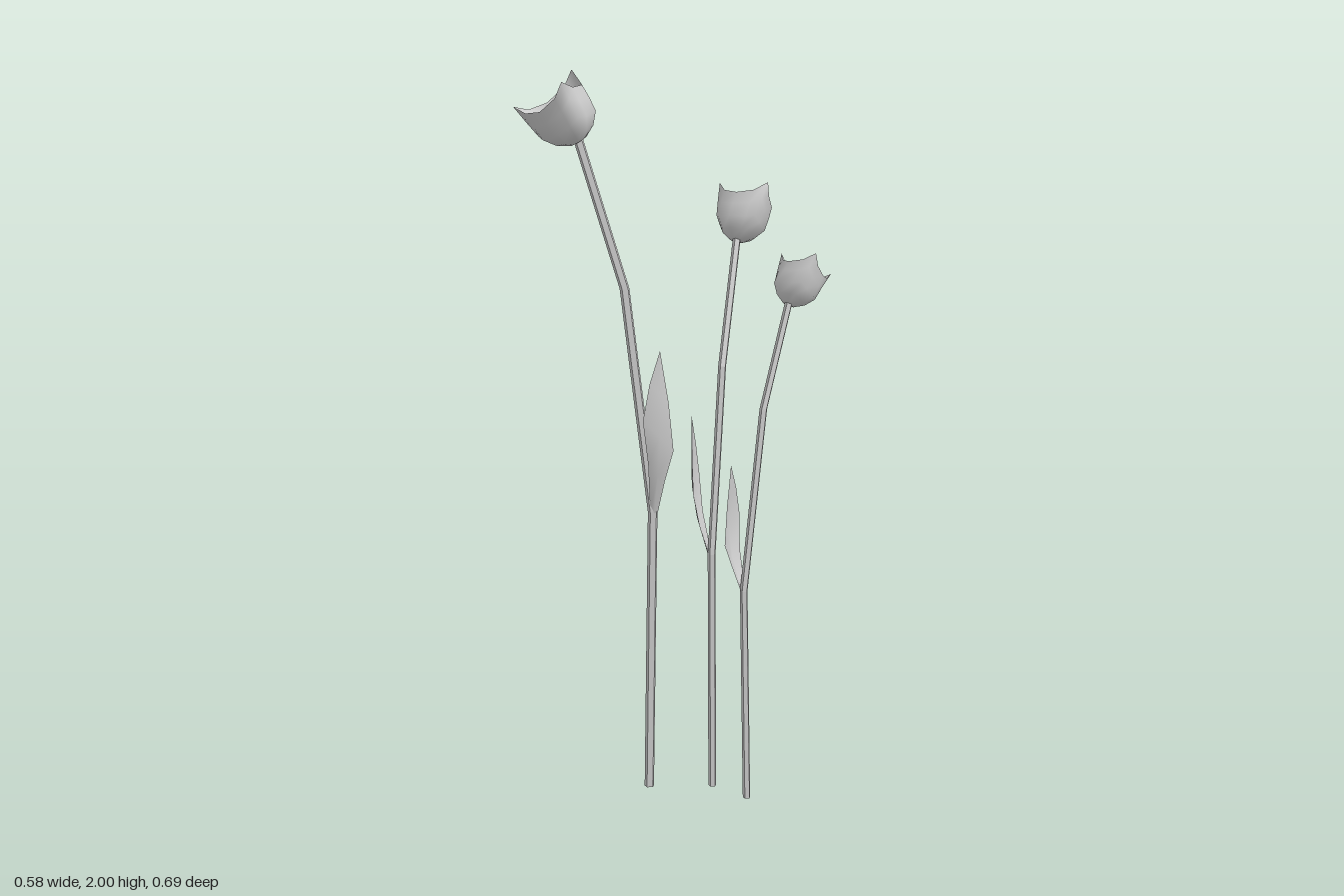
import * as THREE from 'three';

const V = (p) => new THREE.Vector3(...p);

// Surface through rows of points; wrap joins each row into a ring
function loft(rows, wrap) {
  const n = rows[0].length, index = [];
  for (let i = 0; i < rows.length - 1; i++) {
    for (let j = 0; j < (wrap ? n : n - 1); j++) {
      const k = (j + 1) % n;
      const a = i * n + j, b = i * n + k, c = a + n, d = b + n;
      index.push(a, c, b, b, c, d);
    }
  }
  const g = new THREE.BufferGeometry().setFromPoints(rows.flat());
  g.setIndex(index);
  g.computeVertexNormals();
  return g;
}

function part(name, geometry, flat) {
  const material = new THREE.MeshStandardMaterial({
    color: 0xcccccc, side: THREE.DoubleSide, flatShading: flat });
  const mesh = new THREE.Mesh(geometry, material);
  mesh.name = name;
  return mesh;
}

// Five-sided stem through a few points, closed at both ends
function stem(path, radius) {
  const ring = (p, r) => Array.from({ length: 5 }, (_, j) => {
    const a = j / 5 * Math.PI * 2;
    return new THREE.Vector3(p.x + r * Math.cos(a), p.y, p.z + r * Math.sin(a));
  });
  const pts = path.map(V);
  const rows = pts.map((p) => ring(p, radius));
  rows.unshift(ring(pts[0], 0));
  rows.push(ring(pts.at(-1), 0));
  return part('stem', loft(rows, true), true);
}

// Cup with three pointed petals, set by its base and the petal tips
function blossom(basePoint, tipPoints) {
  const base = V(basePoint), tips = tipPoints.map(V);
  const centre = new THREE.Vector3();
  tips.forEach((t) => centre.addScaledVector(t, 1 / 3));
  const axis = centre.clone().sub(base);
  const spokes = tips.map((t) => t.clone().sub(centre));
  const profile = [[0, 0], [0, 0.22], [0.14, 0.52], [0.38, 0.8], [0.7, 0.91], [1, 1]];
  const per = 4;
  const rows = profile.map(([s, r]) => Array.from({ length: 3 * per }, (_, j) => {
    const k = Math.floor(j / per), t = (j % per) / per;
    const from = spokes[k], to = spokes[(k + 1) % 3];
    const length = THREE.MathUtils.lerp(from.length(), to.length(), t);
    const dir = from.clone().lerp(to, t).setLength(length);
    const notch = Math.sin(Math.PI * t);
    return base.clone()
      .addScaledVector(axis, s * (1 - 0.25 * notch))
      .addScaledVector(dir, r * (1 - 0.28 * notch * s));
  }));
  return part('blossom', loft(rows, true), false);
}

// Keeled leaf: joint on the stem, two widest edge points, tip
function leaf(jointPoint, edgeA, edgeB, tipPoint) {
  const joint = V(jointPoint), a = V(edgeA), b = V(edgeB), tip = V(tipPoint);
  const mid = a.clone().add(b).multiplyScalar(0.5);
  const half = b.clone().sub(a).multiplyScalar(0.5);
  const out = new THREE.Vector3(mid.x - joint.x, 0, mid.z - joint.z).setLength(0.014);
  const row = (p, width, keel) => [-1, 0, 1].map((s) =>
    p.clone().addScaledVector(half, s * width).addScaledVector(out, s ? 0 : keel));
  const rows = [
    row(joint, 0.2, 0.5),
    row(joint.clone().lerp(mid, 0.55).addScaledVector(out, 0.4), 0.55, 0.9),
    row(mid, 1, 1),
    row(mid.clone().lerp(tip, 0.5), 0.62, 0.6),
    row(tip, 0, 0),
  ];
  return part('leaf', loft(rows, false), false);
}

const flowers = [
  {
    name: 'tallFlower', radius: 0.014,
    path: [[-0.045, 0, 0.087], [-0.032, 0.8, 0.083], [-0.085, 1.42, 0.135], [-0.167, 1.83, 0.228]],
    base: [-0.165, 1.815, 0.225],
    tips: [[-0.292, 1.905, 0.343], [-0.243, 2, 0.18], [-0.115, 1.975, 0.325]],
    leaf: [[-0.03, 0.79, 0.083], [0.03, 0.98, 0.063], [0.002, 1.07, 0.15], [0.022, 1.26, 0.105]],
  },
  {
    name: 'middleFlower', radius: 0.0115,
    path: [[0.075, 0, -0.045], [0.077, 0.68, -0.038], [0.06, 1.2, -0.093], [0.021, 1.545, -0.187]],
    base: [0.02, 1.535, -0.185],
    tips: [[-0.068, 1.685, -0.207], [-0.012, 1.62, -0.343], [0.088, 1.695, -0.238]],
    leaf: [[0.074, 0.67, -0.038], [0.014, 0.9, -0.05], [0.055, 0.84, 0.01], [0.022, 1.065, -0.013]],
  },
  {
    name: 'shortFlower', radius: 0.011,
    path: [[0.207, 0, -0.05], [0.205, 0.6, -0.036], [0.212, 1.1, -0.1], [0.222, 1.39, -0.187]],
    base: [0.222, 1.378, -0.185],
    tips: [[0.15, 1.505, -0.23], [0.248, 1.45, -0.322], [0.291, 1.52, -0.215]],
    leaf: [[0.203, 0.6, -0.036], [0.151, 0.8, -0.072], [0.172, 0.73, 0.006], [0.154, 0.945, -0.035]],
  },
];

export function createModel() {
  const model = new THREE.Group();
  model.name = 'flowers';
  for (const f of flowers) {
    const flower = new THREE.Group();
    flower.name = f.name;
    flower.add(stem(f.path, f.radius), blossom(f.base, f.tips), leaf(...f.leaf));
    model.add(flower);
  }
  return model;
}
